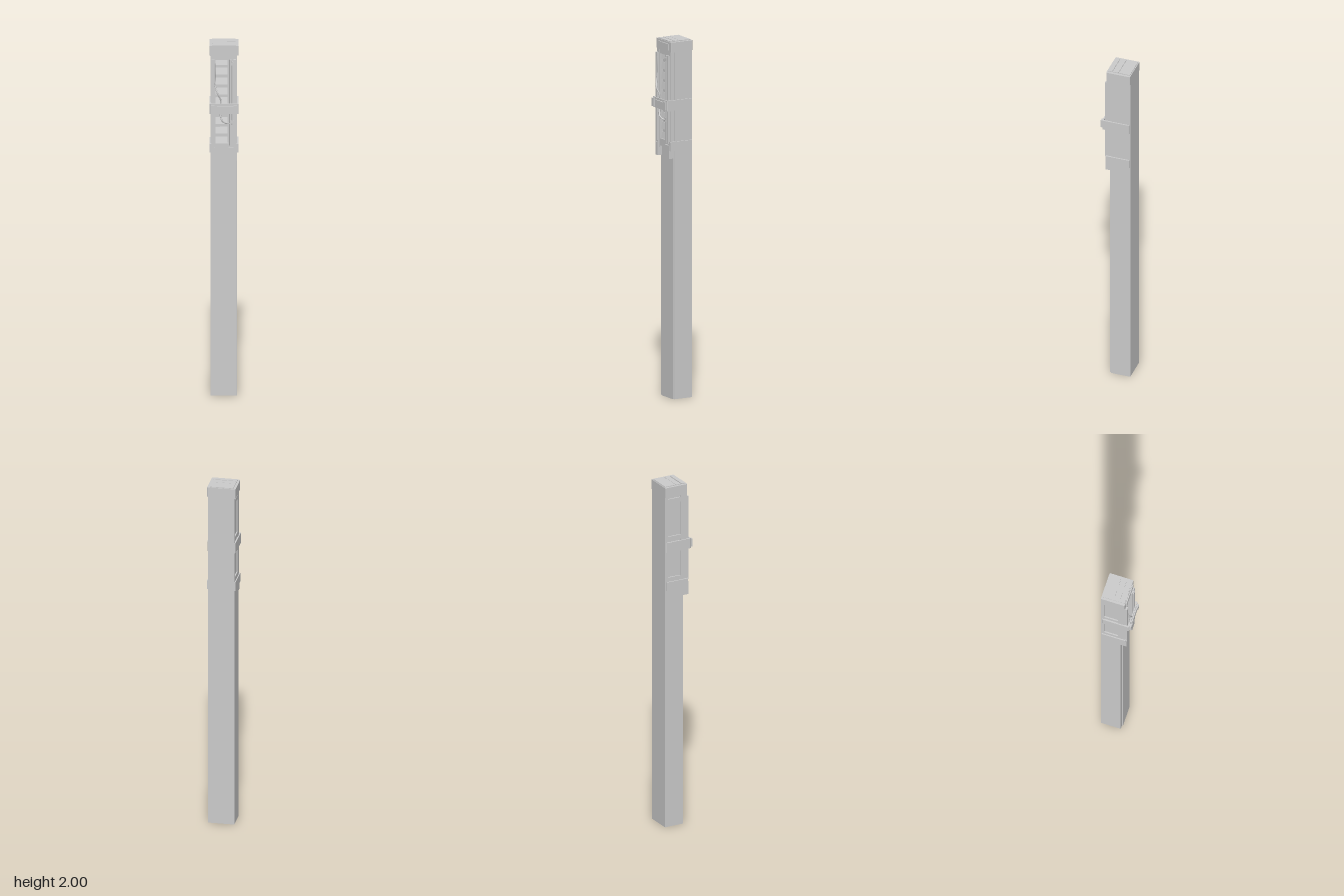
import * as THREE from 'three';

export function createModel() {
  const model = new THREE.Group();
  const grey = new THREE.MeshStandardMaterial({ color: 0xcccccc, flatShading: true });
  const smooth = new THREE.MeshStandardMaterial({ color: 0xcccccc });

  const add = (name, geometry, material = grey) => {
    const mesh = new THREE.Mesh(geometry, material);
    mesh.name = name;
    model.add(mesh);
    return mesh;
  };
  // Box given by its limits on each axis
  const box = (name, x0, x1, y0, y1, z0, z1) => {
    const mesh = add(name, new THREE.BoxGeometry(x1 - x0, y1 - y0, z1 - z0));
    mesh.position.set((x0 + x1) / 2, (y0 + y1) / 2, (z0 + z1) / 2);
    return mesh;
  };
  // Plan outline with chamfered corners, in x and z
  const outline = (target, x0, x1, z0, z1, c) => {
    const points = [[x0 + c, z0], [x1 - c, z0], [x1, z0 + c], [x1, z1 - c],
      [x1 - c, z1], [x0 + c, z1], [x0, z1 - c], [x0, z0 + c]];
    target.setFromPoints(points.map(([x, z]) => new THREE.Vector2(x, -z)));
    return target;
  };
  // Upright extrusion of a plan shape between two heights
  const upright = (name, shape, y0, y1) => {
    const geometry = new THREE.ExtrudeGeometry(shape, { depth: y1 - y0, bevelEnabled: false });
    geometry.rotateX(-Math.PI / 2);
    geometry.translate(0, y0, 0);
    return add(name, geometry);
  };

  // Long lower post with narrow steps at the front corners
  const post = new THREE.Shape([[-0.073, 0.087], [-0.073, -0.026], [-0.052, -0.026], [-0.052, -0.032],
    [0.066, -0.032], [0.066, -0.028], [0.072, -0.026], [0.072, 0.087]].map(([x, y]) => new THREE.Vector2(x, y)));
  upright('post', post, 0, 1.4);

  // Head: core, plain side, framed side and back
  box('headCore', -0.066, 0.066, 1.39, 1.95, -0.085, 0.026);
  box('backPanel', -0.073, 0.072, 1.39, 1.98, -0.087, -0.08);
  box('sidePanel', 0.064, 0.072, 1.39, 1.95, -0.082, 0.022);
  box('sideFrameRear', -0.073, -0.064, 1.39, 1.95, -0.082, -0.068);
  box('sideFrameFront', -0.073, -0.064, 1.39, 1.95, 0.01, 0.035);
  for (const y of [1.44, 1.68, 1.9])
    box('sideFrameRail', -0.073, -0.064, y, y + 0.025, -0.07, 0.015);

  // Top cap with cross slats
  upright('topCap', outline(new THREE.Shape(), -0.079, 0.079, -0.087, 0.05, 0.003), 1.94, 1.996);
  for (const [z0, z1] of [[-0.082, -0.017], [-0.015, 0.016], [0.021, 0.046]])
    box('capSlat', -0.066, 0.064, 1.995, 2, z0, z1);
  box('capFrontLip', -0.058, 0.058, 1.95, 1.985, 0.048, 0.056);

  // Front frame uprights with feet over the post
  box('frontUpright', -0.072, -0.048, 1.39, 1.95, 0.02, 0.05);
  box('frontUpright', 0.024, 0.07, 1.39, 1.95, 0.02, 0.05);
  box('frontFoot', -0.074, -0.05, 1.345, 1.42, 0.02, 0.059);
  box('frontFoot', 0.025, 0.069, 1.345, 1.42, 0.02, 0.059);
  box('frontRailTop', -0.05, 0.026, 1.915, 1.95, 0.02, 0.046);
  box('frontRailBottom', -0.05, 0.026, 1.40, 1.44, 0.02, 0.046);
  box('frontStrip', -0.07, -0.052, 1.43, 1.92, 0.048, 0.062);
  box('frontStrip', 0.028, 0.04, 1.43, 1.92, 0.048, 0.058);
  box('frontStrip', 0.05, 0.066, 1.43, 1.92, 0.048, 0.062);

  // Slanted louvres in the front opening
  for (let i = 0; i < 9; i++) {
    const y = 1.455 + i * 0.056;
    const slat = box('louvre', -0.046, 0.018, y - 0.019, y + 0.019, 0.026, 0.036);
    slat.rotation.x = -0.2;
  }

  // Thin upright rod and its brackets
  const rod = add('rod', new THREE.CylinderGeometry(0.004, 0.004, 0.36, 10), smooth);
  rod.position.set(0.045, 1.73, 0.062);
  for (const y of [1.56, 1.89]) box('rodBracket', 0.033, 0.056, y, y + 0.015, 0.048, 0.066);

  // Loose cable running down across the louvres
  const path = new THREE.CatmullRomCurve3([[-0.052, 1.9, 0.06], [-0.05, 1.78, 0.064], [-0.035, 1.73, 0.075],
    [-0.018, 1.69, 0.066], [-0.022, 1.62, 0.062], [-0.01, 1.575, 0.07], [0.012, 1.56, 0.064],
    [0.03, 1.555, 0.052]].map((p) => new THREE.Vector3(...p)));
  add('cable', new THREE.TubeGeometry(path, 48, 0.004, 8), smooth);

  // Middle strap: a hollow collar with pads and a centre plate
  const strap = outline(new THREE.Shape(), -0.079, 0.079, -0.082, 0.074, 0.004);
  strap.holes.push(outline(new THREE.Path(), -0.07, 0.07, -0.076, 0.067, 0.003));
  upright('middleStrap', strap, 1.614, 1.672);
  box('strapPad', -0.072, -0.052, 1.62, 1.666, 0.073, 0.085);
  box('strapPad', 0.05, 0.07, 1.62, 1.666, 0.073, 0.085);
  box('strapPlate', -0.038, 0.05, 1.625, 1.66, 0.073, 0.081);

  // Lower strap, open in the middle of the front
  for (const s of [-1, 1]) {
    const side = (a, b) => [Math.min(a * s, b * s), Math.max(a * s, b * s)];
    box('lowerStrapSide', ...side(0.068, 0.079), 1.39, 1.44, -0.082, 0.05);
    box('lowerStrapFront', ...side(0.052, 0.079), 1.39, 1.44, 0.045, 0.055);
  }
  return model;
}
